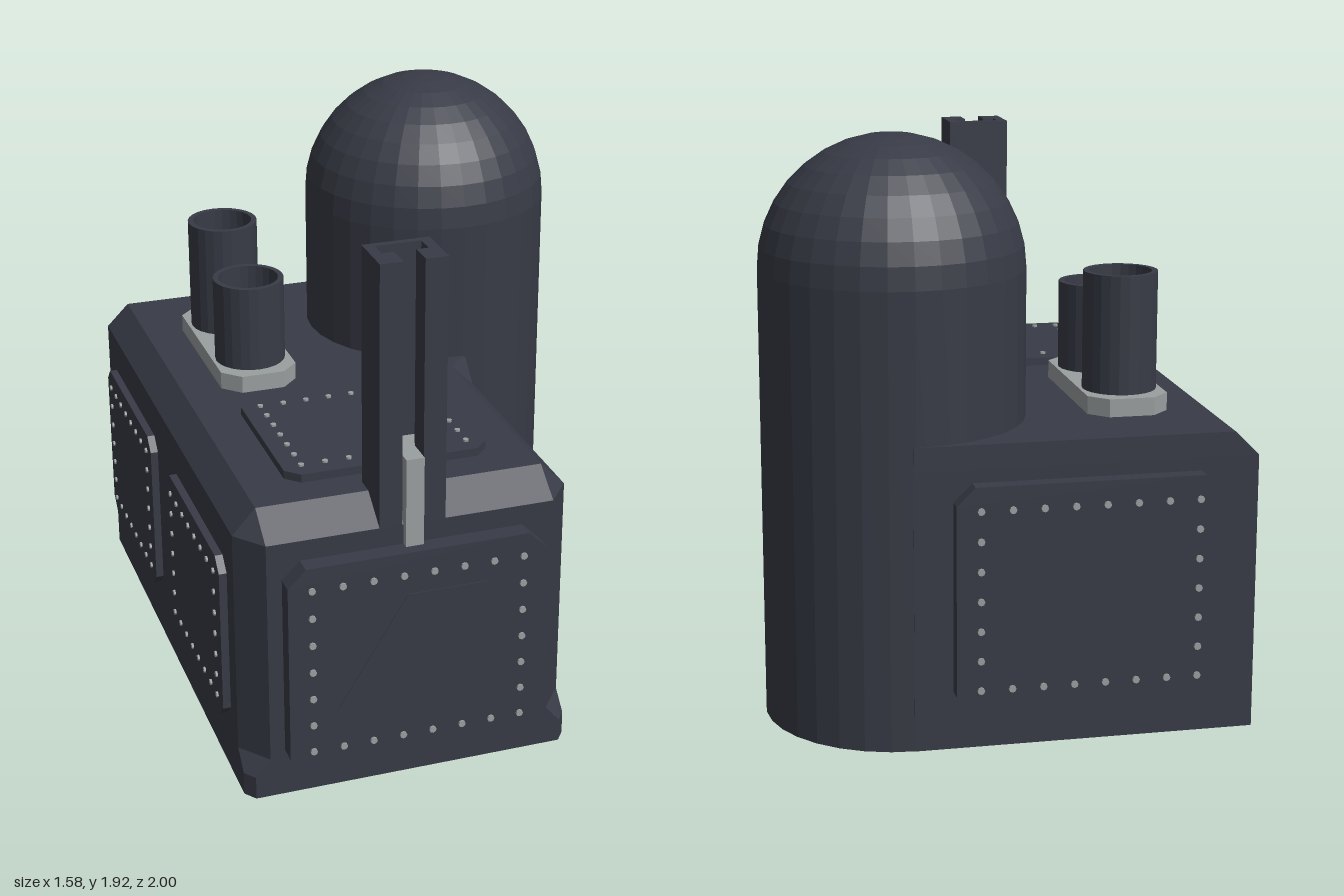
import * as THREE from 'three';

const dark = new THREE.MeshStandardMaterial({ color: 0x383b46, flatShading: true });
const light = new THREE.MeshStandardMaterial({ color: 0x9a9fa0, flatShading: true });

function add(parent, name, geometry, material, x = 0, y = 0, z = 0) {
  const mesh = new THREE.Mesh(geometry, material);
  mesh.name = name;
  mesh.position.set(x, y, z);
  parent.add(mesh);
  return mesh;
}

function extrude(points, depth) {
  const shape = new THREE.Shape(points.map(([x, y]) => new THREE.Vector2(x, y)));
  return new THREE.ExtrudeGeometry(shape, { depth, bevelEnabled: false });
}

// Rectangle with cut corners, centred, extruded along +z
function cutPlate(w, h, c, depth) {
  const a = w / 2, b = h / 2;
  return extrude([[-a + c, -b], [a - c, -b], [a, -b + c], [a, b - c],
    [a - c, b], [-a + c, b], [-a, b - c], [-a, -b + c]], depth);
}

// Panel with a row of rivets along its border
function rivetedPanel(name, w, h, cut, depth, inset, radius) {
  const group = new THREE.Group();
  group.name = name;
  add(group, 'plate', cutPlate(w, h, cut, depth + 0.02), dark, 0, 0, -0.02);
  const rivet = new THREE.CylinderGeometry(radius, radius, 0.014, 8).rotateX(Math.PI / 2);
  const cols = 8, rows = 7;
  for (let i = 0; i < cols; i++) {
    for (let j = 0; j < rows; j++) {
      if (i > 0 && i < cols - 1 && j > 0 && j < rows - 1) continue;
      add(group, 'rivet', rivet, light,
        (i / (cols - 1) - 0.5) * (w - 2 * inset), (j / (rows - 1) - 0.5) * (h - 2 * inset), depth);
    }
  }
  return group;
}

// Housing: horizontal loops with cut front corners, joined upwards
function housingGeometry() {
  const L = -0.76, R = 0.36, F = 0.93, B = -0.94;
  const ring = (y, cx, cz) => [[L, y, B], [L, y, F - cz], [L + cx, y, F],
    [R - cx, y, F], [R, y, F - cz], [R, y, 0], [R, y, -0.08], [R, y, B]];
  const top = [[-0.68, 1, B], [-0.68, 1, 0.82], [-0.68, 1, 0.82], [0.28, 1, 0.82],
    [0.28, 1, 0.82], [0.28, 1, 0], [R, 1, -0.08], [R, 1, B]];
  const rings = [ring(0, 0.03, 0.04), ring(0.08, 0.03, 0.04), ring(0.14, 0.08, 0.1), ring(0.92, 0.08, 0.1), top];
  const n = top.length, index = [];
  for (let r = 0; r < rings.length - 1; r++) {
    for (let i = 0; i < n; i++) {
      const a = r * n + i, b = r * n + (i + 1) % n;
      index.push(a, b, b + n, a, b + n, a + n);
    }
  }
  const t = (rings.length - 1) * n;
  for (let i = 1; i < n - 1; i++) index.push(0, i + 1, i, t, t + i, t + i + 1);
  const g = new THREE.BufferGeometry();
  g.setAttribute('position', new THREE.Float32BufferAttribute(rings.flat(2), 3));
  g.setIndex(index);
  g.computeVertexNormals();
  return g;
}

export function createModel() {
  const model = new THREE.Group();
  model.name = 'machineryBlock';
  add(model, 'housing', housingGeometry(), dark);

  // Domed tank at the back left
  const r = 0.434, shoulder = 1.49, profile = [new THREE.Vector2(0, 0), new THREE.Vector2(r, 0)];
  for (let i = 0; i <= 9; i++) {
    const a = (i / 9) * Math.PI / 2;
    profile.push(new THREE.Vector2(i === 9 ? 0 : r * Math.cos(a), shoulder + r * Math.sin(a)));
  }
  add(model, 'domedTank', new THREE.LatheGeometry(profile, 32), dark, 0.35, 0, -0.505);

  // Riveted panels: name, width, height, cut, depth, inset, rivet radius, position, rotation
  const q = Math.PI / 2;
  const panels = [
    ['frontPanel', 0.865, 0.745, 0.06, 0.063, 0.078, 0.012, [-0.198, 0.479, 0.93], [0, 0, 0]],
    ['backPanel', 0.865, 0.745, 0.06, 0.053, 0.078, 0.012, [-0.198, 0.505, -0.94], [0, 2 * q, 0]],
    ['leftPanel', 0.69, 0.59, 0.045, 0.026, 0.063, 0.01, [0.36, 0.495, 0.415], [0, q, 0]],
    ['rightFrontPanel', 0.69, 0.59, 0.045, 0.026, 0.063, 0.01, [-0.76, 0.495, 0.405], [0, -q, 0]],
    ['rightBackPanel', 0.69, 0.59, 0.045, 0.026, 0.063, 0.01, [-0.76, 0.495, -0.515], [0, -q, 0]],
    ['topPanel', 0.69, 0.595, 0.045, 0.028, 0.063, 0.01, [-0.193, 1, 0.403], [-q, 0, 0]],
  ];
  for (const [name, w, h, cut, depth, inset, radius, pos, rot] of panels) {
    const panel = rivetedPanel(name, w, h, cut, depth, inset, radius);
    panel.position.set(...pos);
    panel.rotation.set(...rot);
    model.add(panel);
  }

  // Thin slanted plate on the front panel
  add(model, 'slantedPlate', extrude([[-0.47, 0.325], [-0.44, 0.295], [0.045, 0.685],
    [0.035, 0.705], [-0.235, 0.705]], 0.004), dark, 0, 0, 0.992);

  // Upright mast with a T-shaped slot open to the front (shape y becomes -z)
  const mast = extrude([[-0.11, -0.93], [-0.035, -0.93], [-0.035, -0.845], [-0.075, -0.845],
    [-0.075, -0.78], [0.075, -0.78], [0.075, -0.845], [0.035, -0.845],
    [0.035, -0.93], [0.11, -0.93], [0.11, -0.757], [-0.11, -0.757]], 0.885).rotateX(-q);
  add(model, 'slottedMast', mast, dark, -0.199, 0.92, 0);

  // T-shaped slider in the slot
  const slider = extrude([[-0.03, -0.953], [0.03, -0.953], [0.03, -0.85], [0.07, -0.85],
    [0.07, -0.782], [-0.07, -0.782], [-0.07, -0.85], [-0.03, -0.85]], 0.305).rotateX(-q);
  add(model, 'slider', slider, light, -0.199, 0.85, 0);

  // Two open stacks on a light base
  add(model, 'stackBase', cutPlate(0.27, 0.665, 0.06, 0.07).rotateX(-q), light, -0.41, 0.99, -0.352);
  for (const [name, z, top] of [['frontStack', -0.185, 1.36], ['backStack', -0.517, 1.455]]) {
    const points = [[0.123, 1.04], [0.123, top], [0.104, top], [0.104, 1.08], [0, 1.08]];
    add(model, name, new THREE.LatheGeometry(points.map(([x, y]) => new THREE.Vector2(x, y)), 24),
      dark, -0.41, 0, z);
  }
  return model;
}
